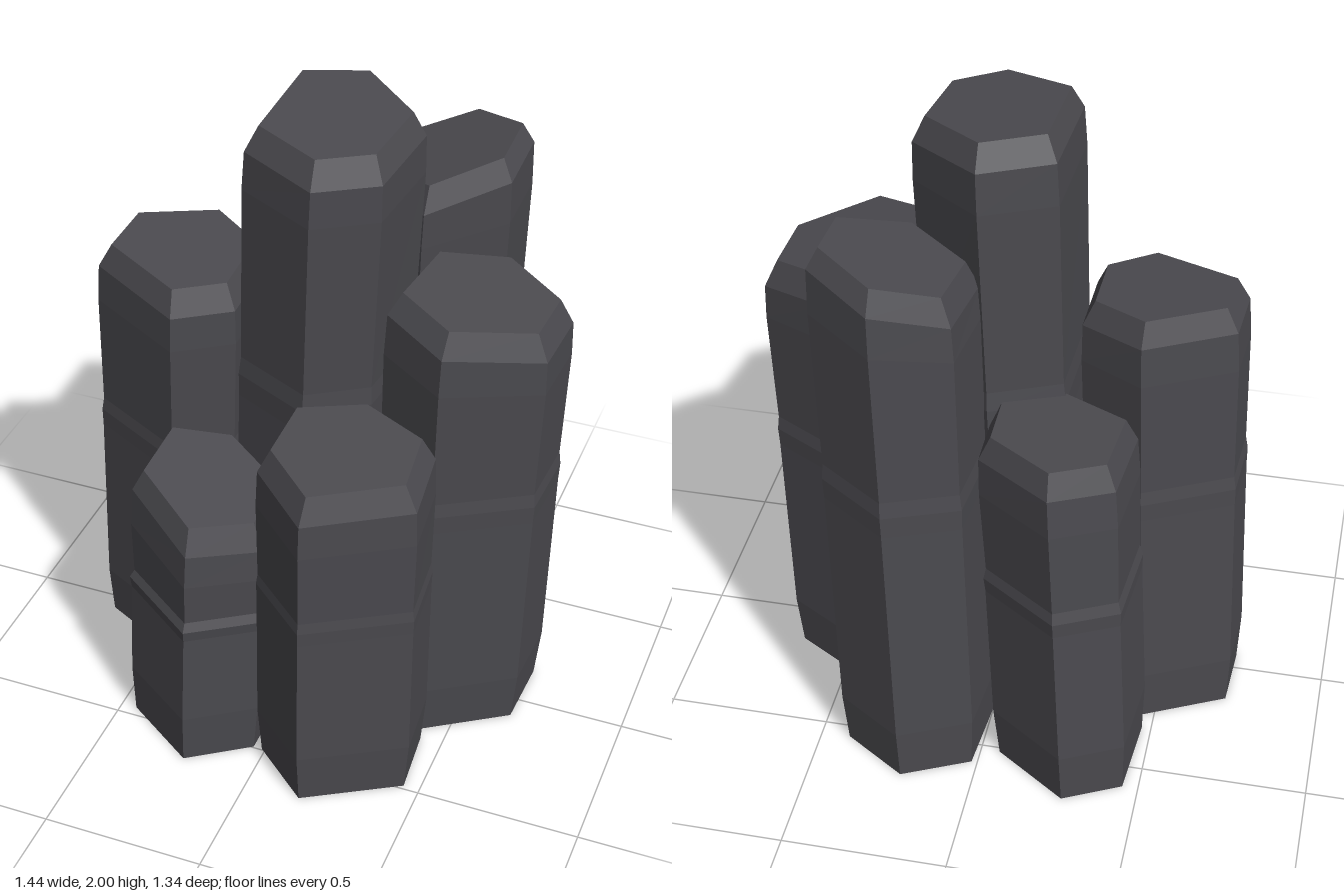
import * as THREE from 'three';

// Each column: shoulder outline [x, z] clockwise from the back corner,
// top height and its slope in x and z, lean of the base, and size of the mid-height crack.
const columns = [
  { name: 'centreColumn', top: 1.975, slope: [-0.06, -0.07], lean: [-0.08, -0.04], crack: 0.012,
    outline: [[0.05, -0.29], [0.27, -0.11], [0.24, 0.17], [0.07, 0.28], [-0.17, 0.17], [-0.16, -0.2]] },
  { name: 'backRightColumn', top: 1.71, slope: [0.3, -0.1], lean: [-0.05, -0.04], crack: 0.012,
    outline: [[0.27, -0.64], [0.47, -0.51], [0.47, -0.29], [0.25, -0.15], [0.04, -0.27], [0.06, -0.54]] },
  { name: 'backLeftColumn', top: 1.18, slope: [0, -0.05], lean: [-0.06, -0.04], crack: 0.02,
    outline: [[-0.22, -0.64], [0.01, -0.48], [0.015, -0.25], [-0.18, -0.16], [-0.42, -0.28], [-0.4, -0.55]] },
  { name: 'rightColumn', top: 1.49, slope: [-0.2, 0], lean: [-0.04, -0.02], crack: 0.012,
    outline: [[0.5, -0.26], [0.72, -0.13], [0.71, 0.1], [0.45, 0.27], [0.25, 0.16], [0.28, -0.14]] },
  { name: 'leftColumn', top: 1.44, slope: [-0.06, -0.08], lean: [-0.05, -0.03], crack: 0.012,
    outline: [[-0.41, -0.25], [-0.22, -0.13], [-0.22, 0.13], [-0.38, 0.24], [-0.68, 0.09], [-0.67, -0.12]] },
  { name: 'frontLeftColumn', top: 0.91, slope: [-0.2, -0.15], lean: [-0.03, 0.02], crack: 0.03,
    outline: [[-0.22, 0.15], [0, 0.27], [0, 0.48], [-0.19, 0.61], [-0.43, 0.45], [-0.42, 0.22]] },
  { name: 'frontRightColumn', top: 1.16, slope: [-0.05, -0.14], lean: [-0.01, 0], crack: 0.01,
    outline: [[0.22, 0.18], [0.45, 0.27], [0.47, 0.49], [0.18, 0.66], [-0.01, 0.5], [0, 0.28]] },
];

function columnGeometry({ top, slope, lean, crack, outline }) {
  const cx = outline.reduce((s, p) => s + p[0], 0) / 6;
  const cz = outline.reduce((s, p) => s + p[1], 0) / 6;
  const shoulder = top - 0.075;

  // Ring at height y; tilt says how much of the sloping top it follows
  const ring = (y, scale, tilt) => outline.map(([x, z]) => {
    const k = Math.max(0, 1 - y / shoulder);
    const dx = (x - cx) * scale, dz = (z - cz) * scale;
    return [cx + dx + lean[0] * k, y + tilt * (slope[0] * dx + slope[1] * dz), cz + dz + lean[1] * k];
  });

  const rings = [
    ring(0, 0.96, 0),
    ring(0.17, 1.01, 0),
    ring(top * 0.54, 1.005, 0.2),
    ring(top * 0.58, 1 + crack, 0.2),
    ring(top * 0.61, 1 - crack, 0.2),
    ring(shoulder - 0.12, 1.005, 0.7),
    ring(shoulder, 0.985, 1),
    ring(top, 0.83, 1),
  ];

  const positions = [];
  const triangle = (a, b, c) => positions.push(...a, ...b, ...c);
  const last = rings.length - 1;
  const baseCentre = [cx + lean[0], 0, cz + lean[1]];
  const topCentre = [cx, top, cz];
  for (let i = 0; i < 6; i++) {
    const j = (i + 1) % 6;
    for (let r = 0; r < last; r++) {
      const low = rings[r], high = rings[r + 1];
      triangle(low[j], low[i], high[i]);
      triangle(low[j], high[i], high[j]);
    }
    triangle(baseCentre, rings[0][i], rings[0][j]);
    triangle(topCentre, rings[last][j], rings[last][i]);
  }
  const geometry = new THREE.BufferGeometry();
  geometry.setAttribute('position', new THREE.Float32BufferAttribute(positions, 3));
  geometry.computeVertexNormals();
  return geometry;
}

export function createModel() {
  const group = new THREE.Group();
  group.name = 'basaltColumns';
  const stone = new THREE.MeshStandardMaterial({ color: 0x4b4a4f });
  stone.name = 'darkStone';
  for (const column of columns) {
    const mesh = new THREE.Mesh(columnGeometry(column), stone);
    mesh.name = column.name;
    group.add(mesh);
  }
  return group;
}
